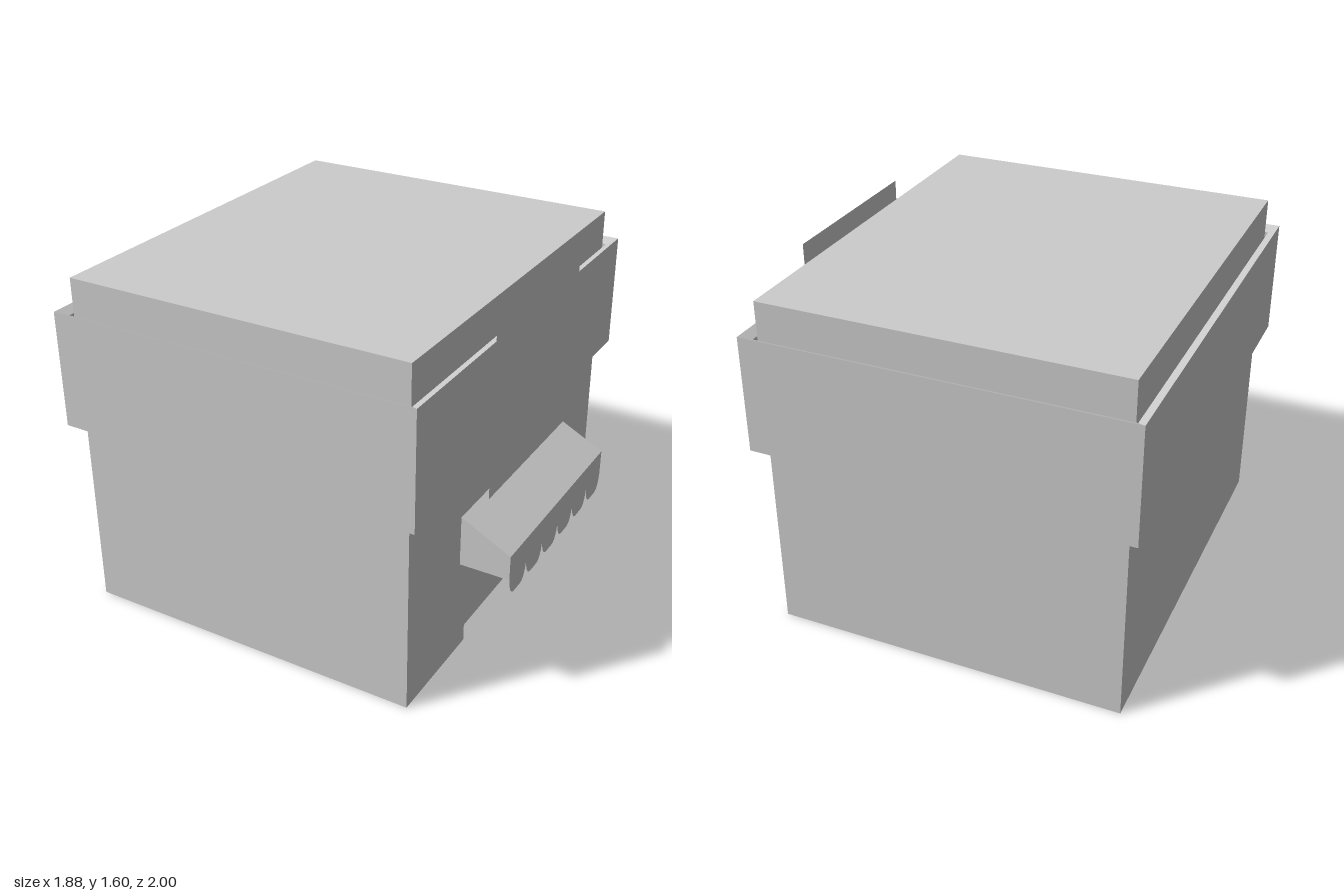
import * as THREE from 'three';

const material = new THREE.MeshStandardMaterial({ color: 0xcccccc, flatShading: true, side: THREE.DoubleSide });

function addMesh(parent, name, geometry) {
  const mesh = new THREE.Mesh(geometry, material);
  mesh.name = name;
  parent.add(mesh);
  return mesh;
}

// Flat-shaded geometry from four-cornered faces, corners counter-clockwise from outside
function quads(faces) {
  const pos = [];
  for (const [a, b, c, d] of faces) pos.push(...a, ...b, ...c, ...a, ...c, ...d);
  const g = new THREE.BufferGeometry();
  g.setAttribute('position', new THREE.Float32BufferAttribute(pos, 3));
  g.computeVertexNormals();
  return g;
}

// Flat shape facing +x; its horizontal coordinate is -z
function sidePanel(shape, x) {
  return new THREE.ShapeGeometry(shape, 5).rotateY(Math.PI / 2).translate(x, 0, 0);
}

// Rectangle of corners around the building, counter-clockwise from above
function rectangle(x0, x1, z, y) {
  return [[x0, y, z], [x1, y, z], [x1, y, -z], [x0, y, -z]];
}

export function createModel() {
  const model = new THREE.Group();
  model.name = 'shop';
  const left = -0.89, right = 0.71, depth = 0.94, height = 1.575;

  // Walls on three sides and the flat roof; the underside is open
  const low = rectangle(left, right, depth, 0);
  const high = rectangle(left, right, depth, height);
  const faces = [high];
  for (const i of [0, 2, 3]) {
    const j = (i + 1) % 4;
    faces.push([low[i], low[j], high[j], high[i]]);
  }
  addMesh(model, 'wallsAndRoof', quads(faces));

  // Entrance wall with a door opening
  const door = { u0: -0.42, u1: 0.46, top: 0.6, x: 0.665 };
  const wall = new THREE.Shape([
    [-depth, 0], [door.u0, 0], [door.u0, door.top], [door.u1, door.top],
    [door.u1, 0], [depth, 0], [depth, height], [-depth, height],
  ].map(([u, y]) => new THREE.Vector2(u, y)));
  addMesh(model, 'entranceWall', sidePanel(wall, right));

  // Recessed doorway: jambs, lintel and door panel
  const zA = -door.u0, zB = -door.u1, t = door.top, d = door.x;
  addMesh(model, 'doorway', quads([
    [[d, 0, zA], [d, 0, zB], [d, t, zB], [d, t, zA]],
    [[right, 0, zA], [d, 0, zA], [d, t, zA], [right, t, zA]],
    [[d, 0, zB], [right, 0, zB], [right, t, zB], [d, t, zB]],
    [[d, t, zA], [d, t, zB], [right, t, zB], [right, t, zA]],
  ]));

  // Fascia band: mitred ring standing just clear of the walls, top sloping inward
  const rings = [
    rectangle(-0.943, 0.765, 1, 0.9),
    rectangle(-0.943, 0.765, 1, 1.433),
    rectangle(-0.902, 0.722, 0.955, 1.41),
    rectangle(-0.902, 0.722, 0.955, 0.9),
  ];
  const band = [];
  rings.forEach((ring, k) => {
    const next = rings[(k + 1) % 4];
    for (let i = 0; i < 4; i++) {
      const j = (i + 1) % 4;
      band.push([ring[i], ring[j], next[j], next[i]]);
    }
  });
  addMesh(model, 'fasciaBand', quads(band));

  // Thin blank sign board in front of the band
  const sign = new THREE.PlaneGeometry(0.84, 0.843).rotateY(Math.PI / 2);
  addMesh(model, 'signBoard', sign).position.set(0.8, 1.177, 0);

  // Awning: sloping top and two end plates
  const awning = new THREE.Group();
  awning.name = 'awning';
  model.add(awning);
  const front = 0.94, z0 = 0.485, z1 = -0.53;
  const yWall = 0.675, yFront = 0.555, yEnd = 0.44;
  addMesh(awning, 'awningTop', quads([
    [[right, yWall, z0], [front, yFront, z0], [front, yFront, z1], [right, yWall, z1]],
  ]));
  const end = (z) => [[right, yEnd, z], [front, yEnd, z], [front, yFront, z], [right, yWall, z]];
  addMesh(awning, 'awningEnds', quads([end(z0), end(z1).reverse()]));

  // Scalloped valance hanging from the front edge
  const count = 6, w = (z0 - z1) / count, notch = 0.435, hem = 0.355;
  const valance = new THREE.Shape();
  valance.moveTo(-z0, yFront);
  valance.lineTo(-z0, notch);
  for (let i = 0; i < count; i++) {
    const a = -z0 + i * w, b = a + w;
    valance.quadraticCurveTo(a + 0.012, hem, a + 0.055, hem);
    valance.lineTo(b - 0.055, hem);
    valance.quadraticCurveTo(b - 0.012, hem, b, notch);
  }
  valance.lineTo(-z1, yFront);
  addMesh(awning, 'valance', sidePanel(valance, front));

  return model;
}
